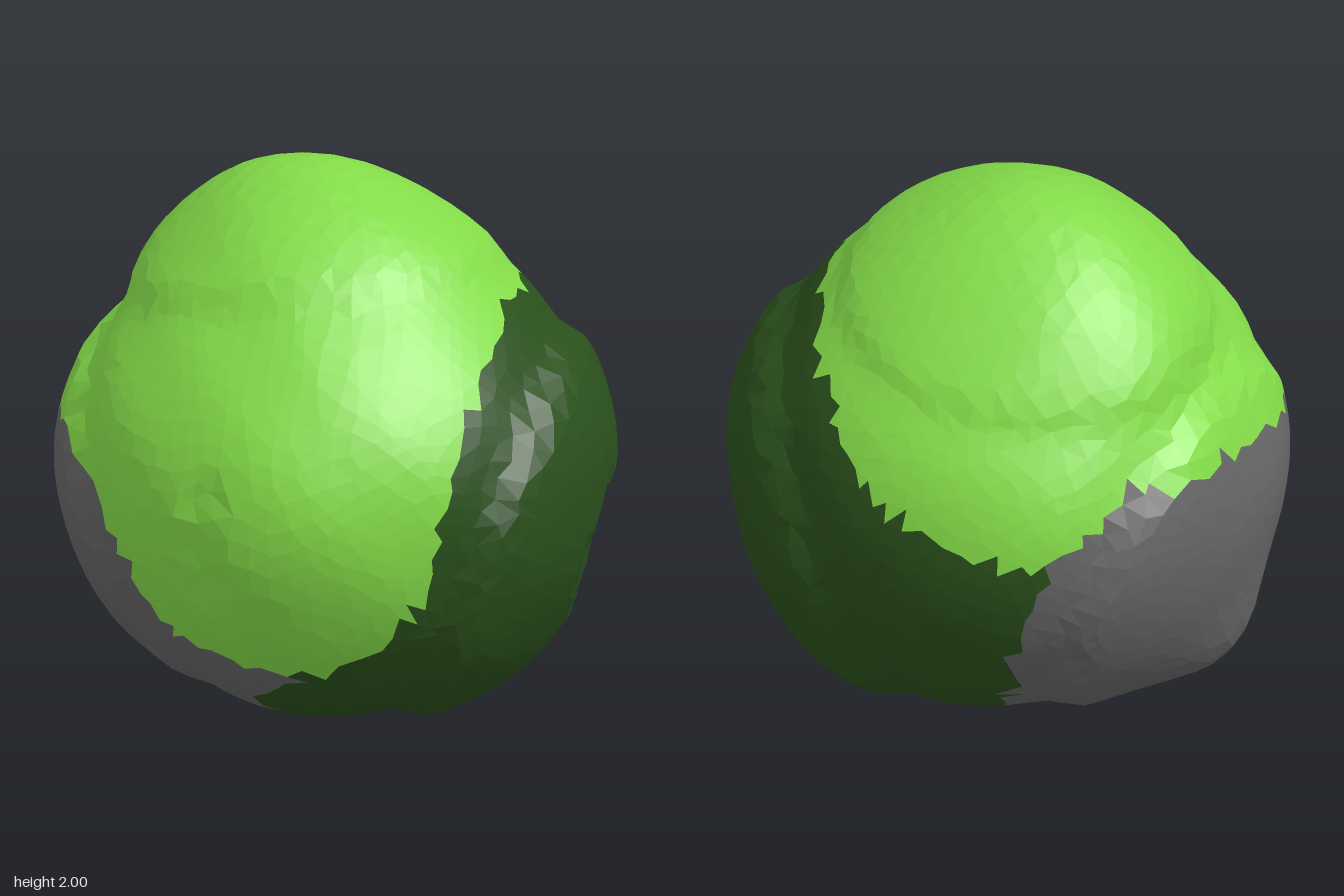
import * as THREE from 'three';

const dir = (x, y, z) => new THREE.Vector3(x, y, z).normalize();
const path = pts => pts.map(p => dir(...p));

// Borders between the three colour patches, all running from the front corner to the back corner
const corners = path([[.43, -.62, .65], [-.78, .01, -.62]]);
const greenGrey = path([[.2, -.57, .8], [0, -.5, .87], [-.2, -.18, .96], [-.36, .05, .92],
  [-.6, .13, .78], [-.86, .2, .45], [-.95, .24, .1], [-.91, .25, -.33]]);
const greenDark = path([[.74, -.45, .5], [.83, -.25, .41], [.88, .1, .36], [.83, .34, .24], [.8, .57, 0],
  [.68, .71, -.25], [.42, .68, -.6], [.13, .5, -.86], [-.1, .28, -.94], [-.38, .13, -.91]]);
const greyDark = path([[.14, -.8, .56], [.01, -.95, .29], [-.18, -.96, -.14], [-.45, -.75, -.47], [-.65, -.38, -.64]]);

// Closed colour loops, flattened stereographically from the top pole so that they share their edges
const flat = p => [p.x / (1 - p.y), p.z / (1 - p.y)];
const loopOf = border => [corners[0], ...border, corners[1], ...greyDark.slice().reverse()].map(flat);
const greyLoop = loopOf(greenGrey), darkLoop = loopOf(greenDark);

function inLoop(p, loop) {
  const [x, y] = flat(p);
  let inside = false;
  loop.forEach(([ax, ay], i) => {
    const [bx, by] = loop[(i + 1) % loop.length];
    if ((ay > y) !== (by > y) && x < ax + (bx - ax) * (y - ay) / (by - ay)) inside = !inside;
  });
  return inside;
}

// Raised disc with a stepped rim and a shallow groove around it
function cap(p, axis, angle, step, groove) {
  const a = p.angleTo(axis) - angle;
  return step * (1 - THREE.MathUtils.smoothstep(a, -.06, .06)) - groove * Math.exp(-(((a - .1) / .1) ** 2));
}
const bump = (p, axis, height, width) => height * Math.exp(-((p.angleTo(axis) / width) ** 2));

const UP = dir(0, 1, 0), DENT = dir(.75, -.3, -.59);
const CAPS = [
  [dir(-.2, .97, -.08), .8, .018, .004], // green
  [dir(.76, -.38, -.53), .86, .045, .01], // dark green
  [dir(-.85, -.36, .3), .83, .035, .01], // grey
];
const BUMPS = [
  [dir(-.12, 1, .02), .062, .31], // peak
  [dir(-.62, .78, 0), .095, .42], // green shoulder
  [dir(-.87, .36, .35), -.03, .3], // hollow under the shoulder
  [dir(.32, -.76, -.52), .055, .48], // dark underside
  [dir(-.75, -.63, .27), .1, .25], // grey corner
  [dir(-.8, -.1, -.5), .035, .4], // back side
  [dir(.45, 0, .85), .035, .35], // front side
  [dir(.7, -.25, -.78), .03, .08], // notch on the hollow's rim
  ...path([[.23, .1, .95], [.22, -.06, .96], [.23, -.22, .94]]).map(d => [d, -.025, .07]), // front seam
  ...path([[-.24, -.5, .8], [-.3, -.64, .7], [-.36, -.77, .52]]).map(d => [d, -.022, .1]), // grey crease
];

function radius(p) {
  // Ball narrowed in a band around its upper half
  let r = .955 - .058 * Math.exp(-(((p.angleTo(UP) - .85) / .43) ** 2));
  for (const c of CAPS) r += cap(p, ...c);
  for (const b of BUMPS) r += bump(p, ...b);
  // Worn hollow in the dark disc
  r -= .055 * (1 - THREE.MathUtils.smoothstep(p.angleTo(DENT), .2, .28));
  return r + .005 * Math.sin(9 * p.x + 5 * p.y) * Math.sin(8 * p.z - 6 * p.y);
}

export function createModel() {
  const group = new THREE.Group();
  group.name = 'threeColourBall';

  // Irregular triangulated ball
  const geo = new THREE.IcosahedronGeometry(1, 14);
  const pos = geo.attributes.position, p = new THREE.Vector3(), dirs = [];
  for (let i = 0; i < pos.count; i++) {
    p.fromBufferAttribute(pos, i);
    const { x, y, z } = p;
    p.x += .02 * Math.sin(31 * y + 47 * z);
    p.y += .02 * Math.sin(37 * z + 41 * x);
    p.z += .02 * Math.sin(43 * x + 29 * y);
    p.normalize();
    dirs.push(p.clone());
    p.multiplyScalar(radius(p));
    pos.setXYZ(i, p.x, p.y, p.z);
  }

  // Centre it and stand it on the ground
  geo.computeBoundingBox();
  const mid = geo.boundingBox.getCenter(new THREE.Vector3());
  geo.translate(-mid.x, -geo.boundingBox.min.y, -mid.z);

  // Sort whole triangles into the patches, leaving jagged borders
  const parts = {
    greenPatch: { color: 0x84dc48, verts: [] },
    darkGreenPatch: { color: 0x2a501c, verts: [] },
    greyPatch: { color: 0x666666, verts: [] },
  };
  for (let i = 0; i < pos.count; i += 3) {
    p.copy(dirs[i]).add(dirs[i + 1]).add(dirs[i + 2]).normalize();
    const name = inLoop(p, greyLoop) ? 'greyPatch' : inLoop(p, darkLoop) ? 'darkGreenPatch' : 'greenPatch';
    for (let k = i; k < i + 3; k++) parts[name].verts.push(pos.getX(k), pos.getY(k), pos.getZ(k));
  }
  for (const [name, { color, verts }] of Object.entries(parts)) {
    const g = new THREE.BufferGeometry();
    g.setAttribute('position', new THREE.Float32BufferAttribute(verts, 3));
    g.computeVertexNormals();
    const mesh = new THREE.Mesh(g, new THREE.MeshStandardMaterial({ color, flatShading: true }));
    mesh.name = name;
    group.add(mesh);
  }
  return group;
}
